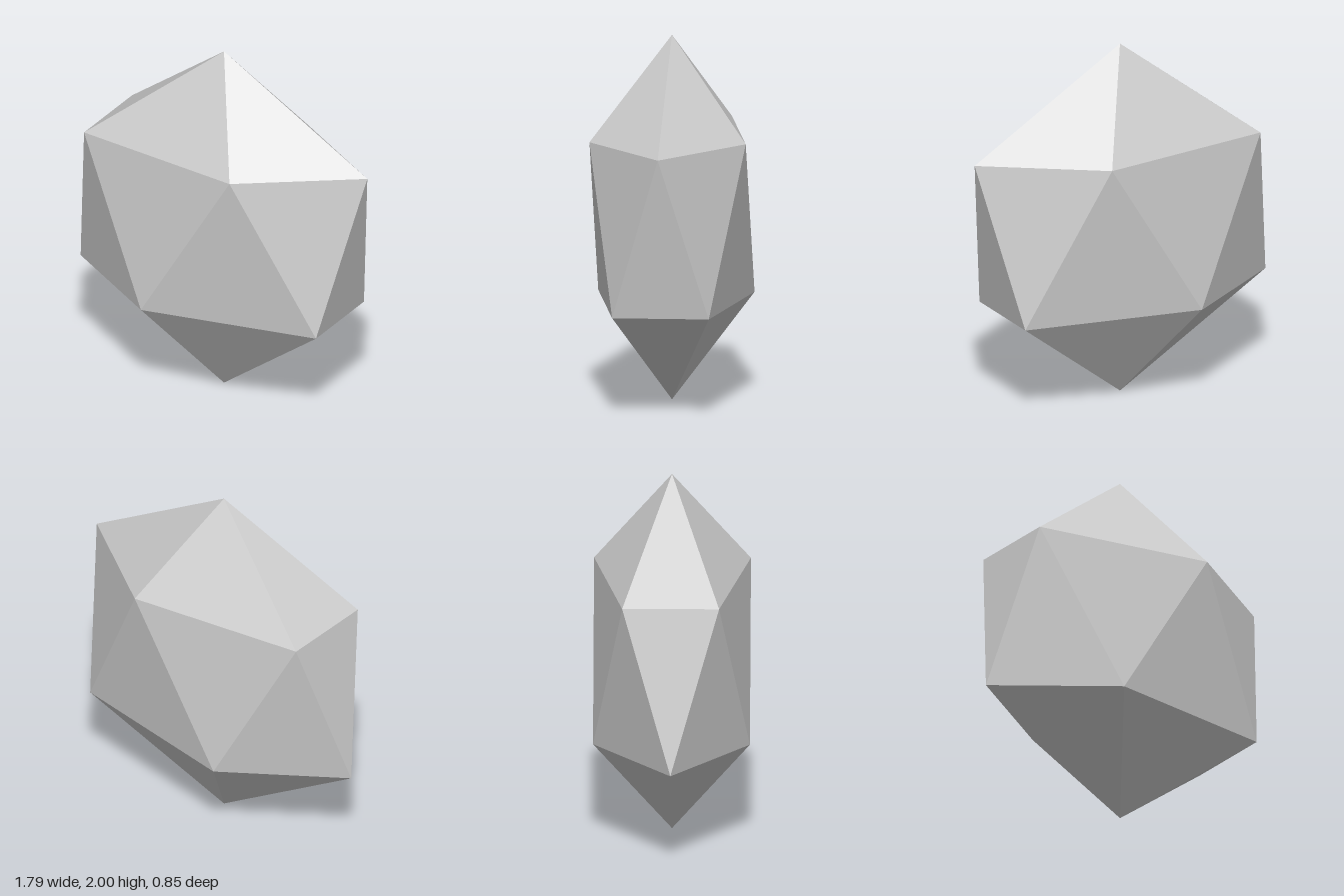
import * as THREE from 'three';

// Icosahedron standing on a vertex, flattened to half depth
export function createModel() {
  const group = new THREE.Group();
  const sides = 5;
  const ringHeight = 1 / Math.sqrt(5);
  const ringRadius = 2 / Math.sqrt(5);
  const depth = 0.5;

  // Five corners of a ring, going from +x towards +z
  const ring = (y, turn) => Array.from({ length: sides }, (_, i) => {
    const a = ((i + turn) / sides) * Math.PI * 2;
    return [Math.cos(a) * ringRadius, y, Math.sin(a) * ringRadius * depth];
  });

  const top = [0, 2, 0];
  const bottom = [0, 0, 0];
  const upper = ring(1 + ringHeight, 0);
  const lower = ring(1 - ringHeight, 0.5);

  // Top cap, zigzag belt and bottom cap
  const corners = [];
  for (let i = 0; i < sides; i++) {
    const j = (i + 1) % sides;
    corners.push(
      ...top, ...upper[j], ...upper[i],
      ...upper[i], ...upper[j], ...lower[i],
      ...lower[i], ...upper[j], ...lower[j],
      ...bottom, ...lower[i], ...lower[j],
    );
  }

  const geometry = new THREE.BufferGeometry();
  geometry.setAttribute('position', new THREE.Float32BufferAttribute(corners, 3));
  geometry.computeVertexNormals();

  const gem = new THREE.Mesh(
    geometry,
    new THREE.MeshStandardMaterial({ color: 0xcccccc, flatShading: true }),
  );
  gem.name = 'facetedGem';
  group.add(gem);
  return group;
}
